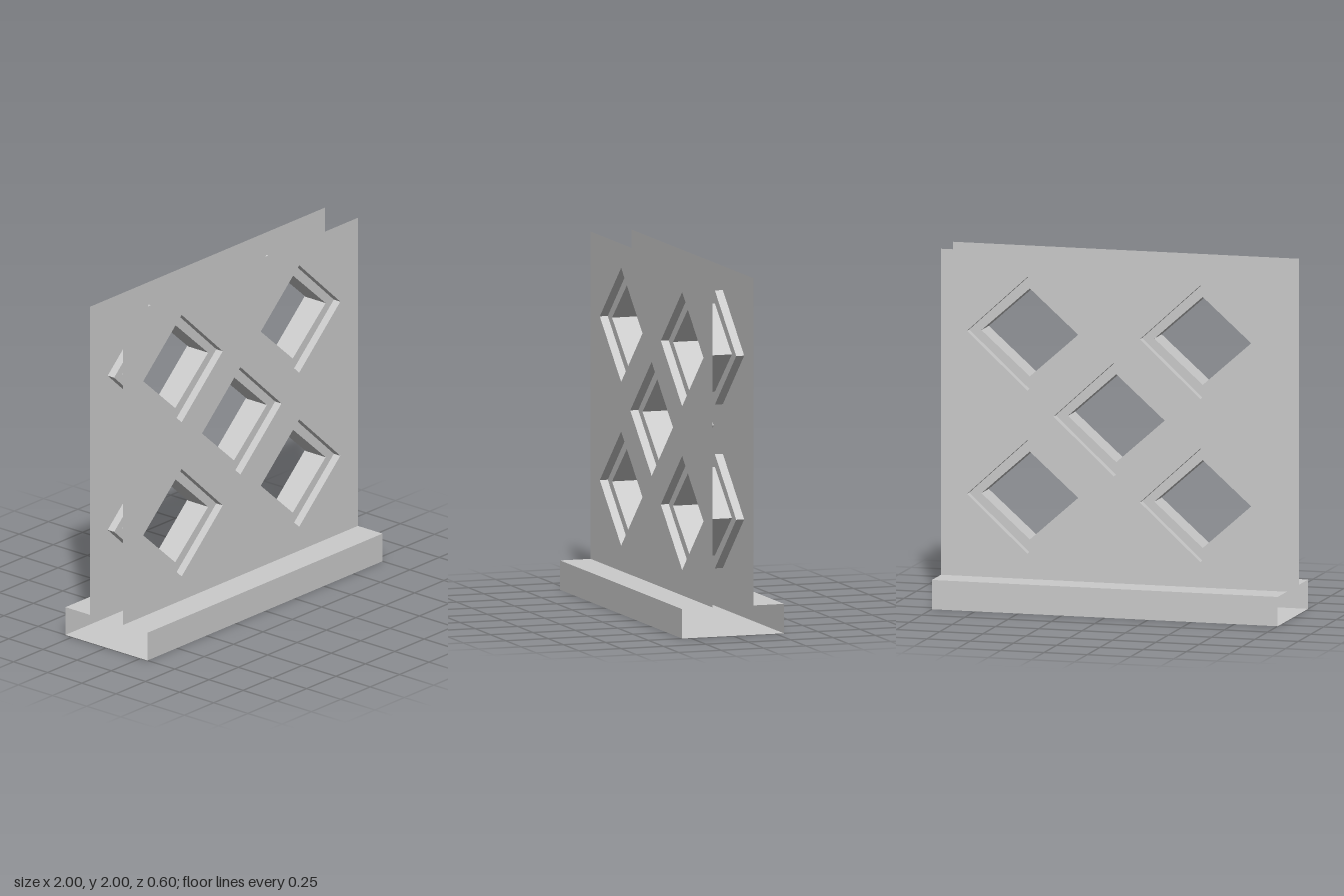
import * as THREE from 'three';

const WALL_Z = 0.12, FRAME_Z = 0.073, BASE_H = 0.165, BASE_Z = 0.3;
const OUTER = [0.35, 0.32], INNER = [0.28, 0.2475];
const WINDOWS = [[-0.5, 0.627], [0.5, 0.627], [0, 1.086], [-0.5, 1.545], [0.5, 1.545]];

const material = new THREE.MeshStandardMaterial({
  color: 0xcccccc, flatShading: true, side: THREE.DoubleSide,
});

function addMesh(parent, name, geometry) {
  const mesh = new THREE.Mesh(geometry, material);
  mesh.name = name;
  parent.add(mesh);
  return mesh;
}

// Diamond outline, as a Shape or as a hole Path
function diamond(Type, [rx, ry], x = 0, y = 0) {
  return new Type([[rx, 0], [0, ry], [-rx, 0], [0, -ry]]
    .map(([dx, dy]) => new THREE.Vector2(x + dx, y + dy)));
}

// Open diamond tube running along z
function sleeve([rx, ry], z0, z1) {
  return new THREE.CylinderGeometry(1, 1, z1 - z0, 4, 1, true)
    .rotateX(Math.PI / 2).scale(rx, ry, 1).translate(0, 0, (z0 + z1) / 2);
}

export function createModel() {
  const model = new THREE.Group();
  model.name = 'latticeWall';

  // Folded sheet base, open at both ends
  const base = new THREE.Group();
  base.name = 'base';
  model.add(base);
  addMesh(base, 'baseFloor', new THREE.PlaneGeometry(2, 2 * BASE_Z).rotateX(Math.PI / 2));

  // Thin wall sheet with five diamond openings
  const sheet = new THREE.Shape([[-1, BASE_H], [1, BASE_H], [1, 2], [-1, 2]]
    .map(([x, y]) => new THREE.Vector2(x, y)));
  for (const [x, y] of WINDOWS) sheet.holes.push(diamond(THREE.Path, OUTER, x, y));
  const wallGeometry = new THREE.ShapeGeometry(sheet).translate(0, 0, WALL_Z);

  // Recessed flat border around each opening
  const border = diamond(THREE.Shape, OUTER);
  border.holes.push(diamond(THREE.Path, INNER));
  const borderGeometry = new THREE.ShapeGeometry(border).translate(0, 0, FRAME_Z);
  const recessGeometry = sleeve(OUTER, FRAME_Z, WALL_Z);
  const tunnelGeometry = sleeve(INNER, -FRAME_Z, FRAME_Z);

  // Front and back halves are the same half turned about y
  for (const [side, turn] of [['front', 0], ['back', Math.PI]]) {
    const half = new THREE.Group();
    half.name = side + 'Half';
    half.rotation.y = turn;
    model.add(half);
    addMesh(half, side + 'Wall', wallGeometry);
    addMesh(half, side + 'BaseSide',
      new THREE.PlaneGeometry(2, BASE_H).translate(0, BASE_H / 2, BASE_Z));
    addMesh(half, side + 'BaseLedge',
      new THREE.PlaneGeometry(2, BASE_Z - WALL_Z).rotateX(-Math.PI / 2)
        .translate(0, BASE_H, (BASE_Z + WALL_Z) / 2));
    for (const [x, y] of WINDOWS) {
      addMesh(half, side + 'WindowRecess', recessGeometry).position.set(x, y, 0);
      addMesh(half, side + 'WindowBorder', borderGeometry).position.set(x, y, 0);
    }
  }

  // Tunnels joining the front and back openings
  for (const [x, y] of WINDOWS) {
    addMesh(model, 'windowTunnel', tunnelGeometry).position.set(x, y, 0);
  }
  return model;
}
